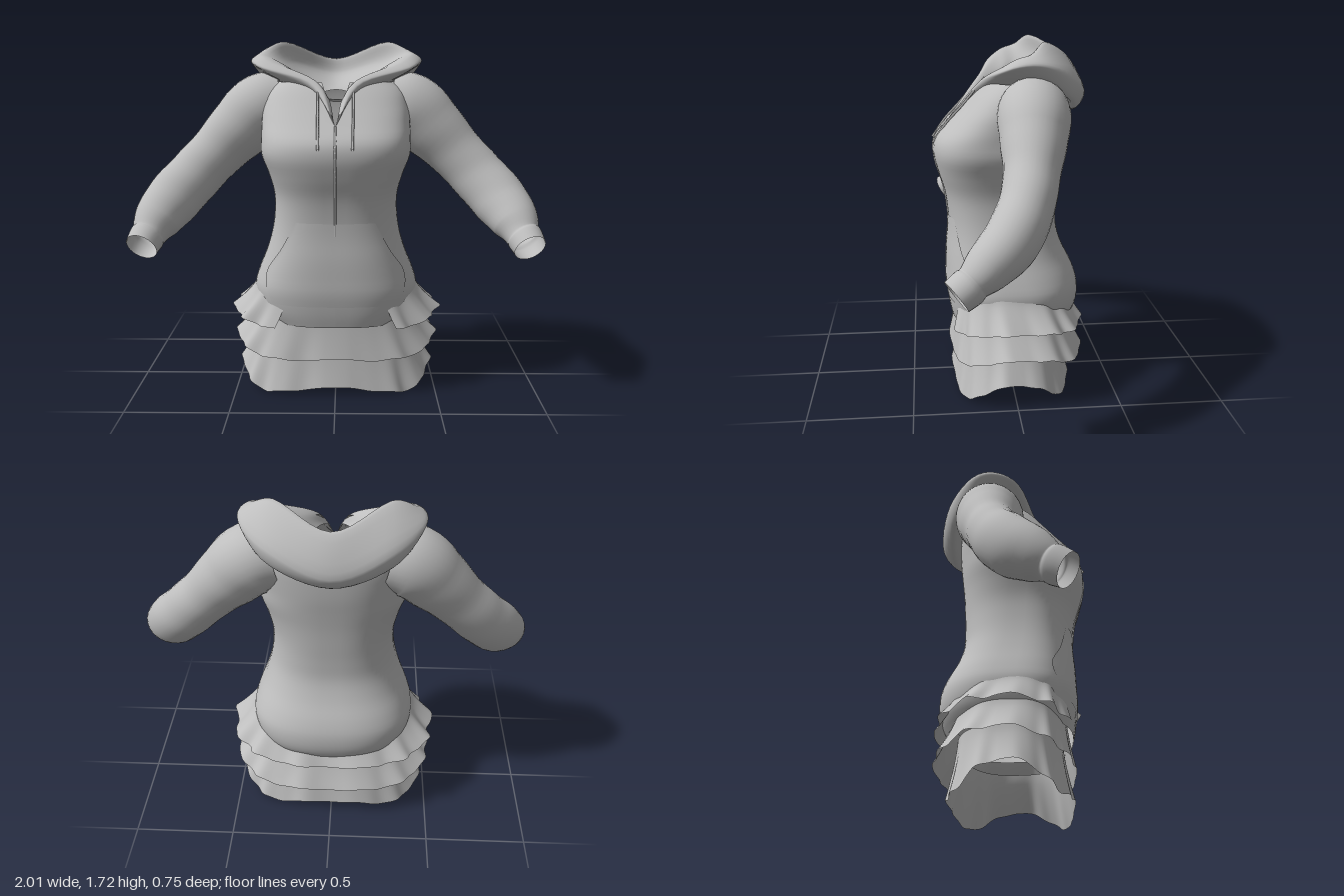
import * as THREE from 'three';

const cloth = new THREE.MeshStandardMaterial({ color: 0xbebebe, side: THREE.DoubleSide });
cloth.name = 'grey cloth';

// Surface from a rule fn(u, v) -> [x, y, z]; closed joins the u ends
function sheet(name, nu, nv, closed, fn) {
  const pos = [], idx = [], cols = closed ? nu : nu + 1;
  for (let j = 0; j <= nv; j++)
    for (let i = 0; i < cols; i++) pos.push(...fn(i / nu, j / nv));
  for (let j = 0; j < nv; j++)
    for (let i = 0; i < nu; i++) {
      const k = (i + 1) % cols, a = j * cols + i, b = j * cols + k;
      idx.push(a, b, b + cols, a, b + cols, a + cols);
    }
  const g = new THREE.BufferGeometry();
  g.setAttribute('position', new THREE.Float32BufferAttribute(pos, 3));
  g.setIndex(idx);
  g.computeVertexNormals();
  const m = new THREE.Mesh(g, cloth);
  m.name = name;
  return m;
}

// Smooth lookup in a table of rows [key, values...]
function table(rows) {
  const f = new THREE.CubicInterpolant(rows.map(r => r[0]), rows.flatMap(r => r.slice(1)), rows[0].length - 1);
  return t => Array.from(f.evaluate(t));
}

// Torso profile: y, half width, front z, back z
const body = table([
  [0.36, 0.34, 0.298, -0.3], [0.42, 0.385, 0.31, -0.335], [0.53, 0.41, 0.32, -0.342], [0.6, 0.39, 0.315, -0.32],
  [0.7, 0.35, 0.31, -0.27], [0.8, 0.32, 0.305, -0.237], [0.9, 0.305, 0.31, -0.232], [1.0, 0.305, 0.325, -0.235],
  [1.1, 0.33, 0.355, -0.24], [1.2, 0.365, 0.375, -0.25], [1.27, 0.365, 0.36, -0.258], [1.34, 0.365, 0.295, -0.262],
  [1.42, 0.36, 0.22, -0.262], [1.5, 0.33, 0.15, -0.25], [1.55, 0.27, 0.1, -0.23],
]);
// Ovals are squarer at the front than at the back
const FRONT = 2.8, BACK = 2.5;
const pw = (s, e) => Math.sign(s) * Math.abs(s) ** e;
function oval(a, [w, f, b]) {
  const e = 2 / (Math.cos(a) > 0 ? FRONT : BACK);
  return [w * pw(Math.sin(a), e), (f + b) / 2 + (f - b) / 2 * pw(Math.cos(a), e)];
}
// Height of the torso front at x, y
function frontZ(x, y) {
  const [w, f, b] = body(y);
  return (f + b) / 2 + (f - b) / 2 * (1 - Math.min(1, Math.abs(x / w)) ** FRONT) ** (1 / FRONT);
}

// Torso, split at the front above the zip to leave the V neck
function torso() {
  return sheet('torso', 72, 48, false, (u, v) => {
    const y = 0.36 + 1.175 * v, row = body(y);
    const gap = Math.max(0, y - 1.34) * 0.34;
    const a0 = Math.asin((gap / row[0]) ** (FRONT / 2));
    const [x, z] = oval(a0 + u * (Math.PI * 2 - 2 * a0), row);
    return [x, y, z];
  });
}

// Sleeve: centre line with a radius at each point, ending in a cuff
function sleeve(side) {
  const pts = [
    [0.26, 1.425, -0.08, 0.15], [0.37, 1.4, -0.08, 0.175], [0.48, 1.305, -0.065, 0.163], [0.6, 1.185, -0.042, 0.139],
    [0.71, 1.07, -0.005, 0.137], [0.815, 0.955, 0.07, 0.137], [0.878, 0.868, 0.17, 0.115], [0.903, 0.815, 0.232, 0.085],
    [0.912, 0.8, 0.252, 0.086], [0.928, 0.765, 0.302, 0.078],
  ];
  const line = new THREE.CatmullRomCurve3(pts.map(p => new THREE.Vector3(p[0], p[1], p[2])));
  const radius = table(pts.map((p, i) => [i / (pts.length - 1), p[3]]));
  const ref = new THREE.Vector3(0, 0, 1);
  return sheet(side > 0 ? 'leftSleeve' : 'rightSleeve', 28, 45, true, (u, v) => {
    const c = line.getPoint(v), t = line.getTangent(v), a = u * Math.PI * 2;
    const p = new THREE.Vector3().crossVectors(t, ref).normalize();
    const q = new THREE.Vector3().crossVectors(t, p);
    const r = radius(v)[0] * (1 + 0.008 * Math.sin(v * 55 + 2 * Math.cos(a)) * Math.sin(v * Math.PI));
    const flat = 1 - 0.11 * Math.sin(v * Math.PI);
    c.addScaledVector(p, Math.cos(a) * r).addScaledVector(q, Math.sin(a) * r * flat);
    return [c.x * side, c.y, c.z];
  });
}

// Hood: half loops from the V point round to the back, from outer seam over the rim to the neck
function hood() {
  const loops = [
    [[0, 1.34, 0.285], [0.1, 1.49, 0.15], [0.24, 1.53, 0.04], [0.3, 1.53, -0.1], [0.22, 1.48, -0.23], [0, 1.43, -0.25]],
    [[0.002, 1.34, 0.295], [0.115, 1.52, 0.15], [0.33, 1.575, 0.055], [0.4, 1.59, -0.11], [0.29, 1.47, -0.26], [0, 1.385, -0.31]],
    [[0.004, 1.345, 0.295], [0.11, 1.53, 0.15], [0.38, 1.61, 0.045], [0.425, 1.635, -0.13], [0.29, 1.55, -0.29], [0, 1.46, -0.37]],
    [[0.006, 1.35, 0.29], [0.095, 1.54, 0.14], [0.33, 1.635, 0.03], [0.37, 1.68, -0.06], [0.27, 1.72, -0.13], [0, 1.65, -0.28]],
    [[0.006, 1.35, 0.28], [0.07, 1.52, 0.14], [0.19, 1.575, 0.02], [0.25, 1.61, -0.06], [0.2, 1.61, -0.16], [0, 1.57, -0.25]],
    [[0.005, 1.345, 0.27], [0.032, 1.46, 0.165], [0.08, 1.49, 0.06], [0.09, 1.46, -0.02], [0.06, 1.48, -0.08], [0, 1.49, -0.1]],
  ].map(h => {
    const mirrored = h.slice(0, -1).reverse().map(([x, y, z]) => [-x, y, z]);
    return new THREE.CatmullRomCurve3([...h, ...mirrored].map(p => new THREE.Vector3(...p)));
  });
  return sheet('hood', 64, 30, false, (u, v) => {
    const p = new THREE.CatmullRomCurve3(loops.map(l => l.getPoint(u))).getPoint(v);
    const fold = 0.008 * Math.sin(u * 34) * Math.sin(u * Math.PI) * Math.sin(v * Math.PI);
    return [p.x, p.y + fold, p.z];
  });
}

// Ruffle tier: oval top to a wider wavy bottom, raised at the sides and dipping at the corners
function ruffle(name, { top, bottom, yTop, yLow, lift, dip, wave, start }) {
  return sheet(name, 150, 8, start === 0, (u, v) => {
    const a = start + u * (Math.PI * 2 - 2 * start);
    const flare = v ** 1.4;
    const row = top.map((t, i) => t + (bottom[i] - t) * flare);
    const [x, z] = oval(a, row);
    const k = 1 + wave * v * (Math.cos(13 * a) + 0.5 * Math.cos(21 * a + 1));
    const end = yLow + lift * Math.abs(Math.sin(a)) ** 3 - dip * Math.sin(2 * a) ** 2 + 0.006 * Math.cos(13 * a);
    return [x * k, yTop + (end - yTop) * v, z * k];
  });
}

// Kangaroo pocket: a raised panel that follows the belly
function pocket() {
  const width = table([[0.47, 0.31], [0.55, 0.34], [0.63, 0.335], [0.74, 0.265], [0.88, 0.19]]);
  return sheet('pocket', 24, 14, false, (u, v) => {
    const y = 0.47 + 0.41 * v, x = (u * 2 - 1) * width(y)[0];
    return [x, y, frontZ(x, y) + 0.002 + 0.008 * Math.sin(v * Math.PI)];
  });
}

// Thin cord lying on the chest
function cord(name, points, r) {
  const path = new THREE.CatmullRomCurve3(points.map(([x, y, lift]) => new THREE.Vector3(x, y, frontZ(x, y) + lift)));
  const m = new THREE.Mesh(new THREE.TubeGeometry(path, 24, r, 6), cloth);
  m.name = name;
  return m;
}

export function createModel() {
  const g = new THREE.Group();
  g.name = 'hoodedDress';
  g.add(torso(), hood(), pocket());
  for (const s of [1, -1]) {
    g.add(sleeve(s));
    g.add(cord(s > 0 ? 'leftDrawstring' : 'rightDrawstring',
      [[0.085 * s, 1.52, 0.02], [0.084 * s, 1.42, 0.012], [0.082 * s, 1.33, 0.01], [0.08 * s, 1.24, 0.006]], 0.006));
  }
  g.add(cord('zip', [1.34, 1.25, 1.15, 1.0, 0.85, 0.7].map(y => [0, y, 0]), 0.006));
  g.add(ruffle('upperRuffle', {
    top: [0.405, 0.28, -0.26], bottom: [0.52, 0.315, -0.355], yTop: 0.54, yLow: 0.345, lift: 0.055, dip: 0, wave: 0.024, start: 0.46,
  }));
  g.add(ruffle('middleRuffle', {
    top: [0.39, 0.27, -0.27], bottom: [0.51, 0.305, -0.36], yTop: 0.43, yLow: 0.195, lift: 0.07, dip: 0.015, wave: 0.015, start: 0,
  }));
  g.add(ruffle('lowerRuffle', {
    top: [0.4, 0.25, -0.25], bottom: [0.485, 0.295, -0.295], yTop: 0.31, yLow: 0.045, lift: 0.08, dip: 0.055, wave: 0.015, start: 0,
  }));
  return g;
}
